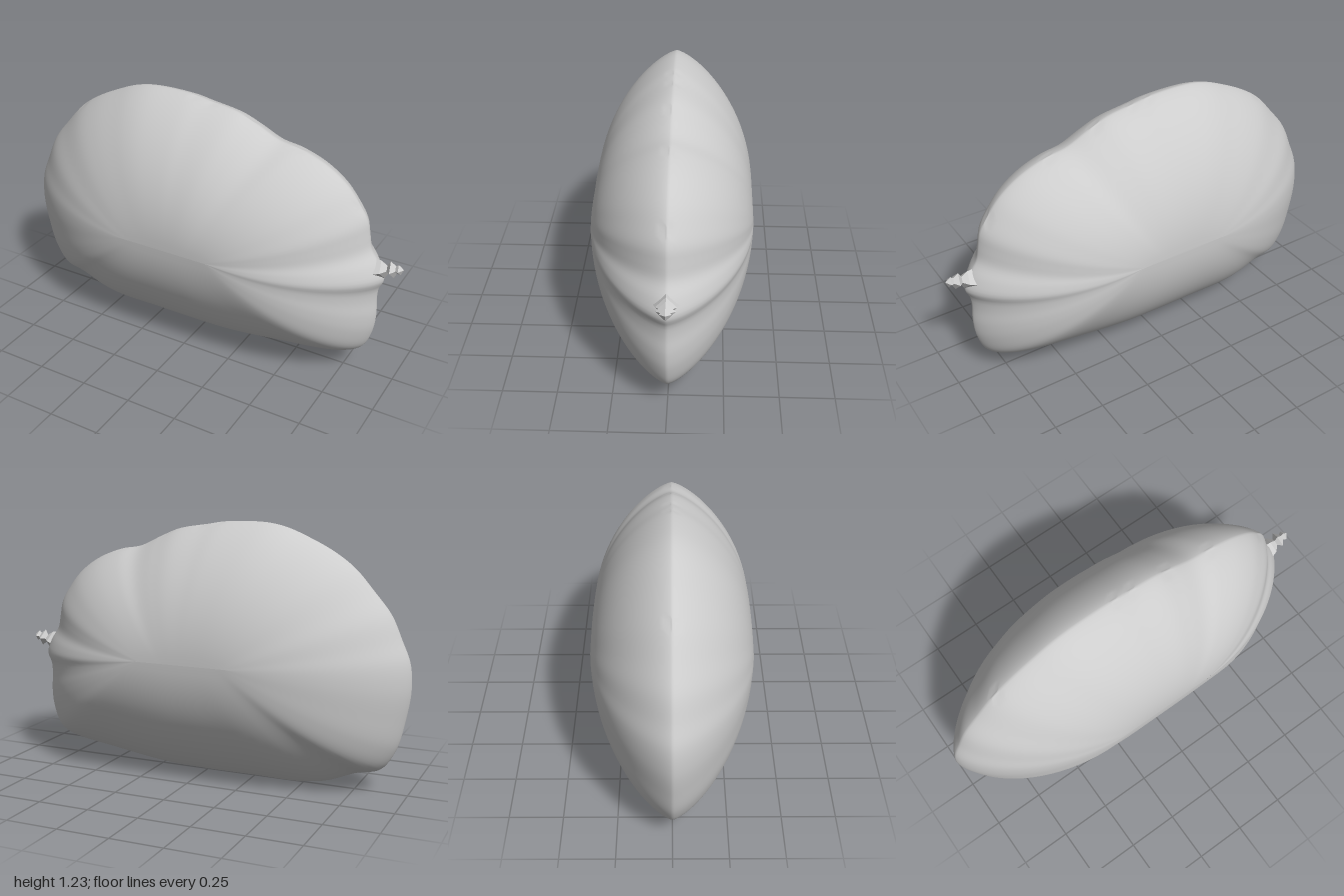
import * as THREE from 'three';

// Silhouette of the cushion, counter-clockwise from the knot
const OUTLINE = [
  [.885, .6], [.84, .67], [.825, .74], [.81, .81], [.76, .89], [.7, .96], [.6, 1.03], [.47, 1.08],
  [.36, 1.1], [.25, 1.15], [.15, 1.19], [0, 1.215], [-.1, 1.23], [-.3, 1.23], [-.4, 1.21], [-.5, 1.17],
  [-.62, 1.11], [-.72, 1.04], [-.82, .93], [-.9, .83], [-.95, .72], [-.99, .62], [-1, .5], [-.98, .36],
  [-.94, .21], [-.87, .11], [-.76, .08], [-.62, .025], [-.5, .003], [-.25, .003], [0, .003], [.2, .01],
  [.5, .05], [.78, .1], [.84, .14], [.88, .24], [.89, .33], [.885, .42], [.89, .48], [.91, .53],
];

// Small pinches along the seam: x, y, half-length
const PINCHES = [
  [-.7, 1.05, .025], [-.07, 1.225, .02], [.03, 1.21, .02], [.21, 1.16, .025], [.46, 1.08, .03],
  [.77, .87, .03], [-.53, .01, .035], [.08, .005, .08], [.22, .012, .02], [.37, .03, .09],
  [.58, .065, .06], [.73, .09, .035],
];

const HALF_DEPTH = .38;
const SEGMENTS = 280;
const RINGS = 24;

// Inflated body: rings shrink from the seam to a short spine on each side
function bodyGeometry() {
  const curve = new THREE.CatmullRomCurve3(
    OUTLINE.map(([x, y]) => new THREE.Vector3(x, y, 0)), true, 'centripetal');
  const edge = curve.getSpacedPoints(SEGMENTS).slice(0, SEGMENTS);
  const positions = [], indices = [];
  const layers = RINGS * 2 + 1;
  for (let i = 0; i < layers; i++) {
    const t = i / RINGS - 1;                       // -1 back, 0 seam, 1 front
    const r = Math.cos(t * Math.PI / 2);
    const depth = Math.sign(t) * HALF_DEPTH * Math.pow(Math.max(0, 1 - r * r), .72);
    for (const p of edge) {
      const spineX = -.25 + .45 * (p.x + 1) / 1.9;
      const pinched = r > .985 && PINCHES.some(([x, y, w]) => Math.hypot(p.x - x, p.y - y) < w);
      positions.push(
        spineX + (p.x - spineX) * r,
        .6 + (p.y - .6) * r,
        pinched ? depth * .55 : depth);
    }
  }
  for (let i = 0; i < layers - 1; i++) {
    for (let j = 0; j < SEGMENTS; j++) {
      const k = (j + 1) % SEGMENTS;
      const a = i * SEGMENTS + j, b = i * SEGMENTS + k;
      const c = a + SEGMENTS, d = b + SEGMENTS;
      indices.push(a, b, d, a, d, c);
    }
  }
  const g = new THREE.BufferGeometry();
  g.setAttribute('position', new THREE.Float32BufferAttribute(positions, 3));
  g.setIndex(indices);
  g.computeVertexNormals();
  return g;
}

// Faceted, crumpled knot that tapers along +x
function knotGeometry() {
  const profile = [[.06, 0], [.045, .045], [.02, .07], [.042, .09], [.018, .11], [.026, .125], [0, .145]];
  let g = new THREE.LatheGeometry(profile.map(([r, y]) => new THREE.Vector2(r, y)), 4);
  g.rotateZ(-Math.PI / 2);
  g = g.toNonIndexed();
  g.computeVertexNormals();
  return g;
}

export function createModel() {
  const group = new THREE.Group();
  group.name = 'cushion';
  const fabric = new THREE.MeshStandardMaterial({ color: 0xcccccc });
  fabric.name = 'light grey';

  const body = new THREE.Mesh(bodyGeometry(), fabric);
  body.name = 'body';
  group.add(body);

  const knot = new THREE.Mesh(knotGeometry(), fabric);
  knot.name = 'knot';
  knot.position.set(.856, .575, 0);
  knot.rotation.z = .25;
  group.add(knot);
  return group;
}
